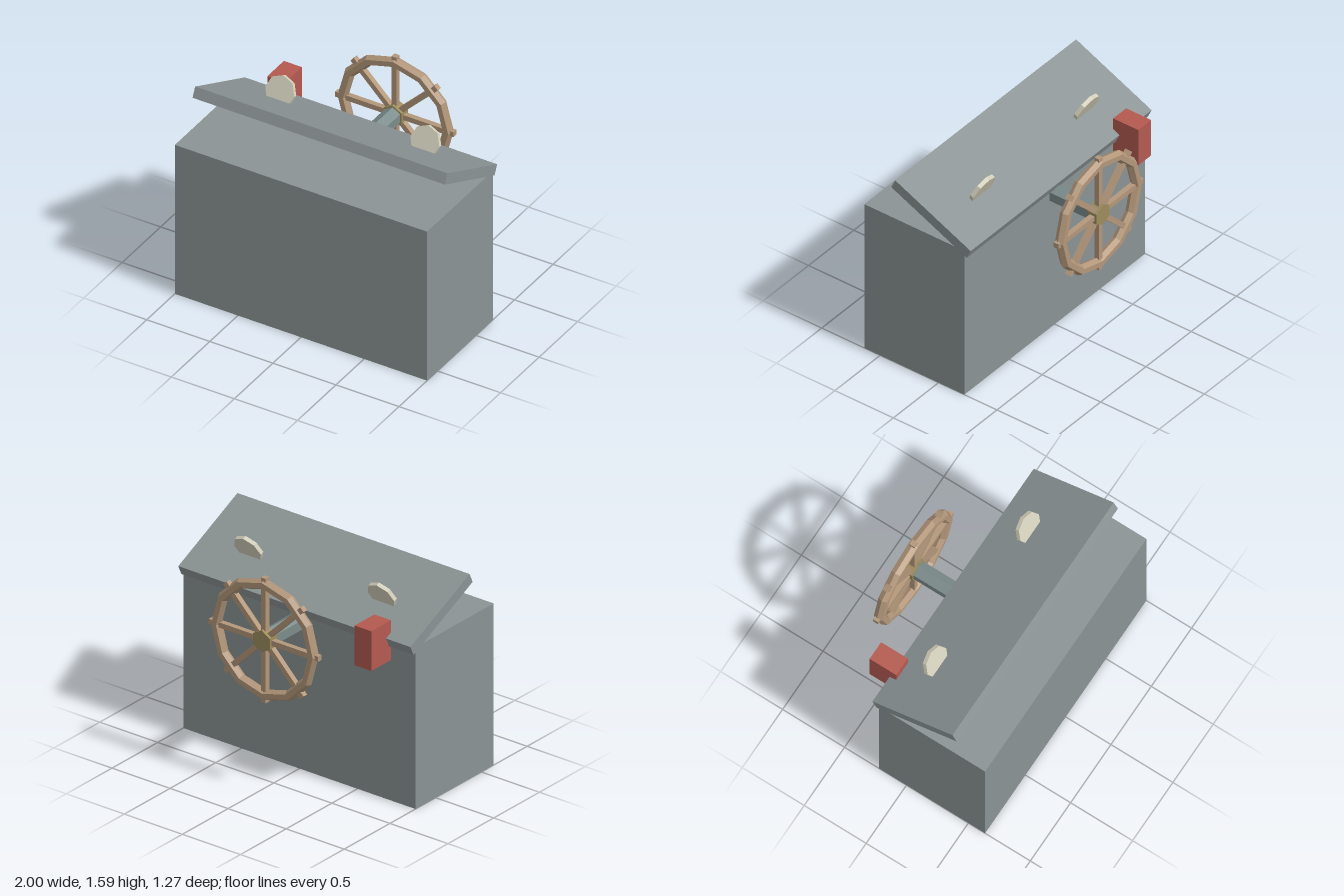
import * as THREE from 'three';

const paint = (color) => new THREE.MeshStandardMaterial({ color, flatShading: true });

function addPart(parent, name, geometry, material, x = 0, y = 0, z = 0) {
  const mesh = new THREE.Mesh(geometry, material);
  mesh.name = name;
  mesh.position.set(x, y, z);
  parent.add(mesh);
  return mesh;
}

// Prism whose axis runs along z, with one corner pointing up
const prismZ = (radius, length, sides) =>
  new THREE.CylinderGeometry(radius, radius, length, sides).rotateX(Math.PI / 2);

export function createModel() {
  const model = new THREE.Group();
  model.name = 'chestWithWheel';

  const slate = paint(0x8b9394);
  const steel = paint(0x7c8c8c);
  const wood = paint(0xb3977a);
  const brass = paint(0x9c8c5c);
  const red = paint(0xb45a50);
  const cream = paint(0xd2cfba);

  // Main box
  addPart(model, 'body', new THREE.BoxGeometry(2, 1.22, 0.855), slate, 0, 0.61, 0.2075);

  // Tilted lid, raised at the front
  const lid = new THREE.Group();
  lid.name = 'lid';
  lid.position.set(0, 1.3575, 0.065);
  lid.rotation.x = THREE.MathUtils.degToRad(-25);
  model.add(lid);
  addPart(lid, 'lidPanel', new THREE.BoxGeometry(2, 0.08, 0.713), slate);

  // Octagonal discs standing on the lid, partly sunk into it
  for (const side of [-1, 1]) {
    const name = side > 0 ? 'leftDisc' : 'rightDisc';
    addPart(lid, name, prismZ(0.115, 0.03, 8), cream, side * 0.575, 0.098, -0.0745);
  }

  // Red block on the back
  addPart(model, 'rearBlock', new THREE.BoxGeometry(0.143, 0.3, 0.215), red, -0.717, 1.21, -0.3275);

  // Axle from the back wall to the wheel
  addPart(model, 'axle', prismZ(0.07, 0.36, 6), steel, 0, 1.12, -0.395);

  // Spoked wheel
  const wheel = new THREE.Group();
  wheel.name = 'wheel';
  wheel.position.set(0, 1.12, -0.595);
  model.add(wheel);
  addPart(wheel, 'rim', new THREE.TorusGeometry(0.417, 0.04, 6, 12), wood);
  addPart(wheel, 'hub', prismZ(0.083, 0.08, 6), brass);

  // Four full-width bars make eight spokes with pegs beyond the rim
  const bar = new THREE.BoxGeometry(0.04, 0.94, 0.04);
  for (let i = 0; i < 4; i++) {
    addPart(wheel, 'spoke', bar, wood).rotation.z = (i * Math.PI) / 4;
  }

  return model;
}
